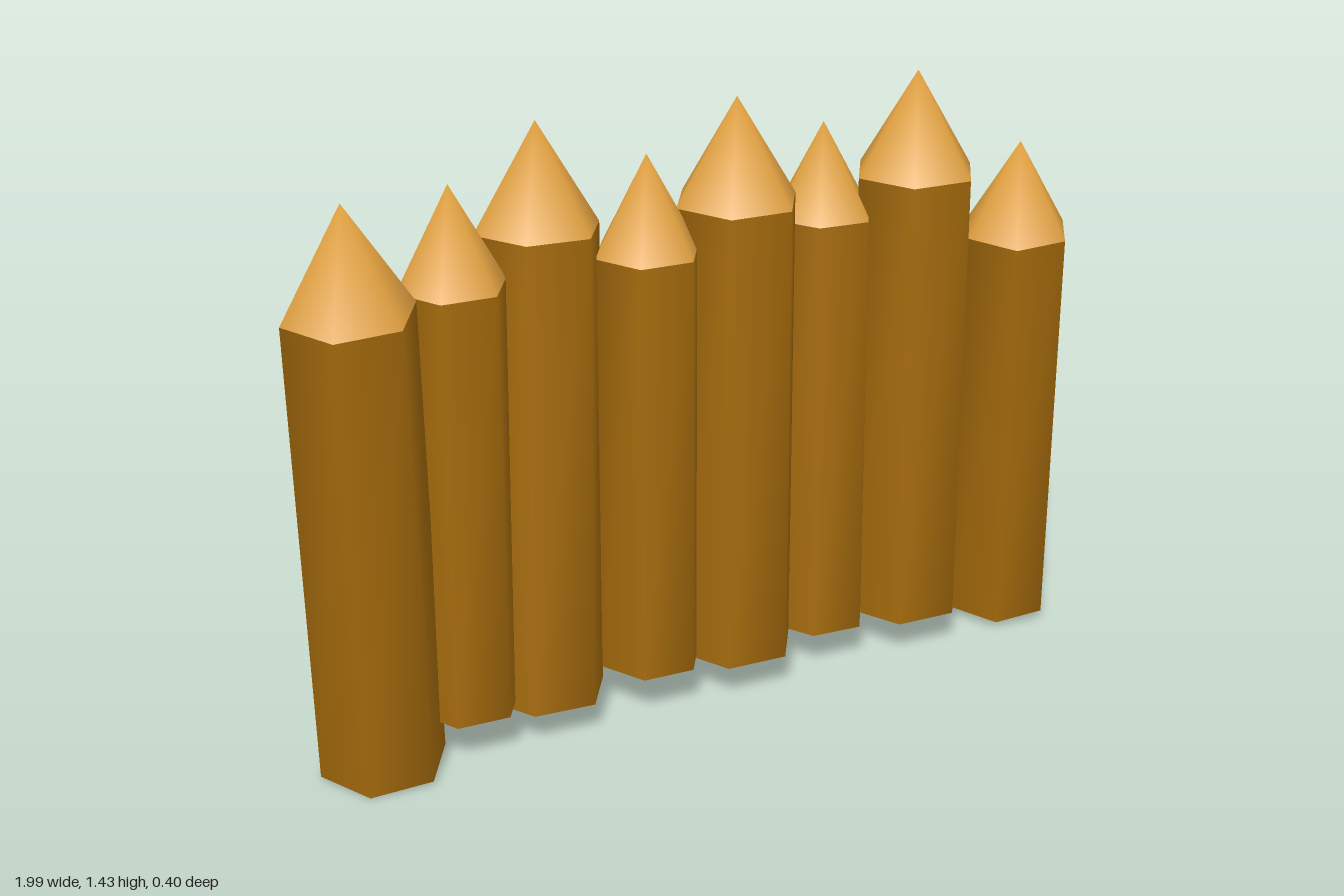
import * as THREE from 'three';
import { mergeVertices } from 'three/addons/utils/BufferGeometryUtils.js';

const bark = new THREE.MeshStandardMaterial({ color: 0xa56b0c });
bark.name = 'bark brown';
const cutWood = new THREE.MeshStandardMaterial({ color: 0xe0a040 });
cutWood.name = 'cut wood';

const SIDES = 6;
const TURN = Math.PI / 2 - 0.06; // corners point along x, turned slightly

// Weld all corners so the surface shades smoothly, including at the point
function smooth(geometry) {
  geometry.deleteAttribute('uv');
  geometry.deleteAttribute('normal');
  const welded = mergeVertices(geometry, 1e-4);
  welded.computeVertexNormals();
  return welded;
}

// One sharpened stake running from its base centre to its shoulder centre
function makeStake({ base, shoulder, radius, point }) {
  const from = new THREE.Vector3(...base);
  const axis = new THREE.Vector3(...shoulder).sub(from);
  const length = axis.length();
  const stake = new THREE.Group();

  const add = (name, geometry, material, y) => {
    geometry.rotateY(TURN);
    const mesh = new THREE.Mesh(geometry, material);
    mesh.name = name;
    mesh.position.y = y;
    stake.add(mesh);
  };

  add('shaft', smooth(new THREE.CylinderGeometry(radius, radius, length, SIDES, 1, true)), bark, length / 2);
  add('sharpenedTip', smooth(new THREE.ConeGeometry(radius, point, SIDES, 1, true)), cutWood, length + point / 2);

  // Sawn underside, facing down with corners matching the shaft
  const cap = new THREE.CircleGeometry(radius, SIDES, Math.PI / 2);
  cap.rotateX(Math.PI / 2);
  add('sawnBase', cap, cutWood, 0);

  stake.position.copy(from);
  stake.quaternion.setFromUnitVectors(new THREE.Vector3(0, 1, 0), axis.normalize());
  return stake;
}

export function createModel() {
  const model = new THREE.Group();
  model.name = 'palisade';

  // Stakes from the model's right to its left
  const stakes = [
    { base: [-0.8, 0.012, -0.005], shoulder: [-0.85, 1.112, 0.065], radius: 0.147, point: 0.245 },
    { base: [-0.587, 0.1, -0.015], shoulder: [-0.587, 1.105, -0.015], radius: 0.125, point: 0.225 },
    { base: [-0.385, 0.073, -0.035], shoulder: [-0.357, 1.18, -0.075], radius: 0.148, point: 0.24 },
    { base: [-0.118, 0.1, -0.015], shoulder: [-0.118, 1.105, -0.015], radius: 0.125, point: 0.225 },
    { base: [0.108, 0.085, -0.015], shoulder: [0.108, 1.19, -0.015], radius: 0.148, point: 0.24 },
    { base: [0.35, 0.085, -0.035], shoulder: [0.37, 1.1, -0.075], radius: 0.125, point: 0.22 },
    { base: [0.583, 0.085, -0.015], shoulder: [0.583, 1.19, -0.015], radius: 0.148, point: 0.24 },
    { base: [0.867, 0.026, -0.008], shoulder: [0.82, 1.033, 0.065], radius: 0.13, point: 0.222 },
  ];
  stakes.forEach((spec, i) => {
    const stake = makeStake(spec);
    stake.name = `stake${i + 1}`;
    model.add(stake);
  });
  return model;
}
